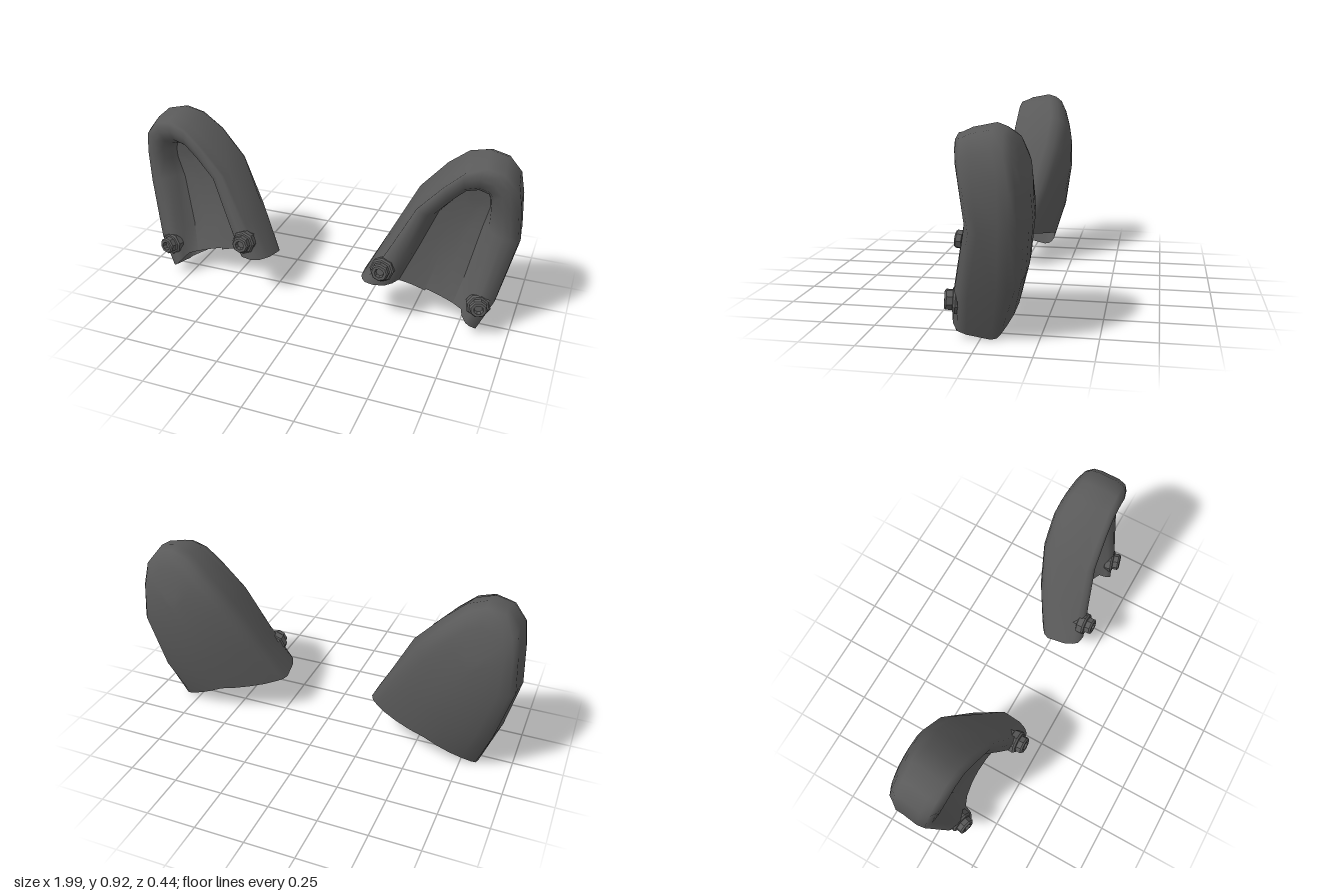
import * as THREE from 'three';
import { mergeVertices } from 'three/addons/utils/BufferGeometryUtils.js';

// Stations around the arch: outer x,y, inner rim x,y, front z, spine index, rise of the cut edge
const STATIONS = [
  [0.24, 0.20, 0.42, 0.19, 0.185, 0, 0.028],
  [0.36, 0.43, 0.50, 0.39, 0.15, 1, 0],
  [0.49, 0.66, 0.585, 0.60, 0.115, 2, 0],
  [0.62, 0.80, 0.67, 0.69, 0.105, 3, 0],
  [0.72, 0.89, 0.73, 0.745, 0.10, 3, 0],
  [0.81, 0.92, 0.79, 0.76, 0.098, 3, 0],
  [0.90, 0.90, 0.835, 0.745, 0.095, 3, 0],
  [0.965, 0.82, 0.848, 0.71, 0.085, 3, 0],
  [0.985, 0.70, 0.85, 0.65, 0.07, 3, 0],
  [1.0, 0.51, 0.845, 0.54, 0.045, 2, 0],
  [0.92, 0.22, 0.797, 0.25, 0.105, 1, 0],
  [0.84, -0.008, 0.762, 0.075, 0.13, 0, 0.04],
];
// Middle line of the shell, from the bottom edge upward
const SPINE = [[0.57, 0.135], [0.62, 0.33], [0.70, 0.50], [0.76, 0.62]];

const mix = (a, b, t) => [a[0] + (b[0] - a[0]) * t, a[1] + (b[1] - a[1]) * t];

// Depth of the domed back at a point
function backZ([x, y]) {
  const dx = x - 0.76;
  const dy = y < 0.55 ? 0.133 * ((0.55 - y) / 0.55) ** 2 : 0.07 * ((y - 0.55) / 0.35) ** 2;
  return dx < 0 ? -0.217 + 0.7 * dx * dx + dy * (1 + 1.5 * dx) : -0.217 + 0.8 * dx * dx + dy;
}

// Cross-section at one station, from the pocket floor over the rim to the back
function section([ox, oy, ix, iy, zf, k, rise], index) {
  const O = [ox, oy], I = [ix, iy], C = SPINE[k];
  const F = mix(I, C, index > 8 ? 0.24 : 0.12);
  const end = rise > 0;
  const zb = backZ(O);
  const put = (p, z) => {
    // the cut bottom edge rises toward the front
    const lift = rise * Math.max(0, Math.min(1, (z - backZ(p)) / 0.2));
    return [p[0], p[1] + lift, z];
  };
  // the outer wall leans with depth
  const wall = (p, z) => put([p[0] + 0.12 * z, p[1] - (end ? 0 : 0.2 * (z + 0.07))], z);
  const back = (t, dz) => { const p = mix(O, C, t); return put(p, backZ(p) + dz); };
  const floor = (p) => put(p, backZ(p) + 0.185);
  return {
    floor: [floor(C), floor(mix(C, F, 0.5)), floor(F)],
    shell: [
      floor(F), put(I, zf - 0.055), put(mix(I, O, 0.18), zf - 0.016), put(mix(I, O, 0.48), zf),
      put(mix(I, O, 0.72), zf - 0.008), wall(mix(I, O, 0.93), zf - 0.03), wall(O, zf - 0.07),
      wall(O, zb + (end ? 0.03 : 0.065)), back(0.05, end ? 0.012 : 0.027), back(0.13, 0.006),
      back(0.3, 0), back(0.52, 0), back(0.76, 0), back(1, 0),
    ],
  };
}

// Smooth surface through rows of points, mirrored by side
function loft(rows, side) {
  const n = rows[0].length, index = [];
  const pos = rows.flat().flatMap(([x, y, z]) => [x * side, y, z]);
  const tri = (a, b, c) => (side > 0 ? index.push(a, b, c) : index.push(a, c, b));
  for (let i = 0; i < rows.length - 1; i++) {
    for (let j = 0; j < n - 1; j++) {
      const a = i * n + j, b = a + n;
      tri(a, b, b + 1);
      tri(a, b + 1, a + 1);
    }
  }
  let g = new THREE.BufferGeometry();
  g.setAttribute('position', new THREE.Float32BufferAttribute(pos, 3));
  g.setIndex(index);
  g = mergeVertices(g, 1e-5);
  g.computeVertexNormals();
  return g;
}

// Flanged bolt with a recessed socket, pointing along +y before turning
function boltGeometry() {
  const profile = [
    [0, -0.07], [0.05, -0.07], [0.052, -0.03], [0.06, -0.026], [0.062, 0.005], [0.054, 0.014],
    [0.045, 0.016], [0.045, 0.042], [0.038, 0.05], [0.024, 0.05], [0.02, 0.03], [0, 0.03],
  ].map(([r, y]) => new THREE.Vector2(r, y));
  const g = new THREE.LatheGeometry(profile, 8).toNonIndexed();
  g.computeVertexNormals();
  return g;
}

export function createModel() {
  const model = new THREE.Group();
  const grey = new THREE.MeshStandardMaterial({ color: 0x5a5a5a, side: THREE.DoubleSide });
  grey.name = 'dark grey';
  const add = (parent, name, geometry) => {
    const mesh = new THREE.Mesh(geometry, grey);
    mesh.name = name;
    parent.add(mesh);
    return mesh;
  };

  const sections = STATIONS.map(section);
  const bolt = boltGeometry();

  for (const side of [1, -1]) {
    const half = new THREE.Group();
    half.name = side > 0 ? 'leftShell' : 'rightShell';
    model.add(half);

    // Hollow shell, open along the bottom, with the pocket panel set into it
    add(half, 'rimAndBack', loft(sections.map((s) => s.shell), side));
    add(half, 'pocketFloor', loft(sections.map((s) => s.floor), side));

    // Bolts at the foot of each leg
    const bolts = [
      ['innerBolt', [0.375, 0.31, 0.167], [0.0, 0.12, 1]],
      ['outerBolt', [0.848, 0.172, 0.1], [0.25, 0.08, 1]],
    ];
    for (const [name, p, d] of bolts) {
      const mesh = add(half, name, bolt);
      mesh.position.set(p[0] * side, p[1], p[2]);
      const dir = new THREE.Vector3(d[0] * side, d[1], d[2]).normalize();
      mesh.quaternion.setFromUnitVectors(new THREE.Vector3(0, 1, 0), dir);
    }
  }
  return model;
}
